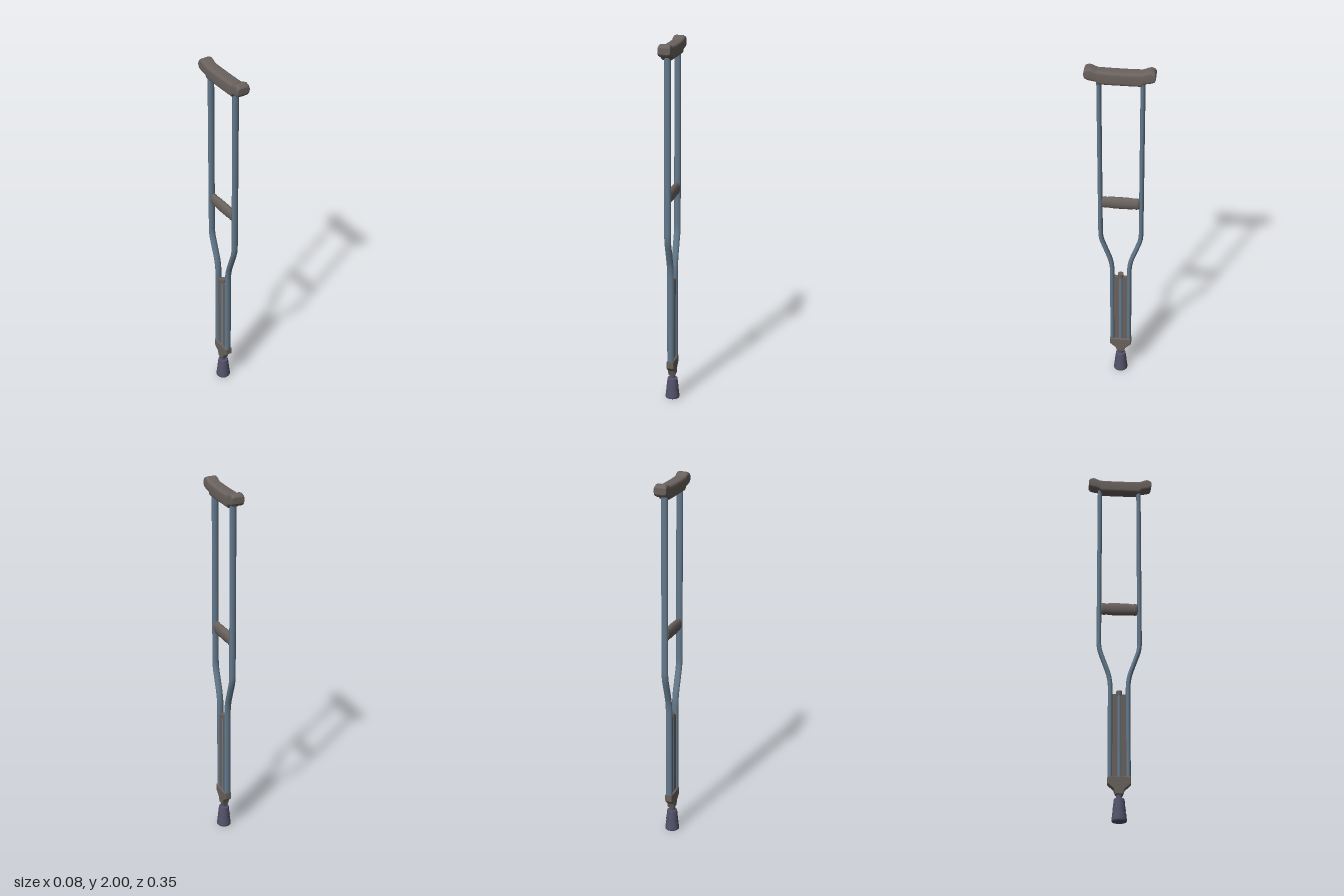
import * as THREE from 'three';

const steel = new THREE.MeshStandardMaterial({ color: 0x64798c });
steel.name = 'blue steel';
const foam = new THREE.MeshStandardMaterial({ color: 0x6a625e });
foam.name = 'grey brown foam';
const rubber = new THREE.MeshStandardMaterial({ color: 0x54526a });
rubber.name = 'dark rubber';

const FRAME_Z = -0.004;

function add(parent, name, geometry, material) {
  const mesh = new THREE.Mesh(geometry, material);
  mesh.name = name;
  parent.add(mesh);
  return mesh;
}

const lathe = (points, sides = 24) =>
  new THREE.LatheGeometry(points.map(([r, y]) => new THREE.Vector2(r, y)), sides);

// Skin over rounded-box sections, listed from +z to -z as [z, bottom, top, halfWidth]
function loft(sections, sides = 28, power = 0.45) {
  const pos = [], index = [];
  const round = (v) => Math.sign(v) * Math.pow(Math.abs(v), power);
  const ring = ([z, bottom, top, half]) => {
    for (let j = 0; j < sides; j++) {
      const a = (j / sides) * Math.PI * 2;
      pos.push(half * round(Math.cos(a)), (top + bottom) / 2 + (top - bottom) / 2 * round(Math.sin(a)), z);
    }
  };
  sections.forEach(ring);
  for (let i = 0; i < sections.length - 1; i++) {
    for (let j = 0; j < sides; j++) {
      const a = i * sides + j, b = i * sides + (j + 1) % sides;
      index.push(a, a + sides, b, b, a + sides, b + sides);
    }
  }
  // Flat end caps with their own vertices
  [sections[0], sections[sections.length - 1]].forEach((s, end) => {
    const start = pos.length / 3;
    ring(s);
    pos.push(0, (s[1] + s[2]) / 2, s[0]);
    for (let j = 0; j < sides; j++) {
      const a = start + j, b = start + (j + 1) % sides, c = start + sides;
      if (end === 0) index.push(c, a, b);
      else index.push(c, b, a);
    }
  });
  const g = new THREE.BufferGeometry();
  g.setAttribute('position', new THREE.Float32BufferAttribute(pos, 3));
  g.setIndex(index);
  g.computeVertexNormals();
  return g;
}

// Oval tube that runs straight, bends inward and runs straight again
function legGeometry(side) {
  const p = (y, z) => new THREE.Vector3(0, y, side * z);
  const path = new THREE.CurvePath();
  path.add(new THREE.LineCurve3(p(1.93, 0.109), p(0.985, 0.109)));
  path.add(new THREE.QuadraticBezierCurve3(p(0.985, 0.109), p(0.955, 0.109), p(0.925, 0.1)));
  path.add(new THREE.LineCurve3(p(0.925, 0.1), p(0.815, 0.061)));
  path.add(new THREE.QuadraticBezierCurve3(p(0.815, 0.061), p(0.77, 0.047), p(0.72, 0.047)));
  path.add(new THREE.LineCurve3(p(0.72, 0.047), p(0.2, 0.047)));
  const g = new THREE.TubeGeometry(path, 90, 0.0125, 16, false);
  g.scale(1.45, 1, 1);
  return g;
}

export function createModel() {
  const model = new THREE.Group();
  model.name = 'crutch';
  const frame = new THREE.Group();
  frame.name = 'frame';
  frame.position.z = FRAME_Z;
  model.add(frame);

  // Underarm pad with raised, flared ends
  const half = [
    [0.176, 1.95, 1.982, 0.033],
    [0.17, 1.938, 1.993, 0.034],
    [0.152, 1.931, 2.0, 0.034],
    [0.135, 1.928, 1.995, 0.0335],
    [0.117, 1.924, 1.987, 0.032],
    [0.108, 1.91, 1.985, 0.033],
    [0.04, 1.91, 1.983, 0.034],
  ];
  const mirrored = half.map(([z, ...rest]) => [-z, ...rest]).reverse();
  add(model, 'underarmPad', loft([...half, ...mirrored]), foam);

  for (const side of [1, -1]) {
    const label = side > 0 ? 'front' : 'back';
    add(frame, label + 'Leg', legGeometry(side), steel);
    // Slats filling the space between leg and centre post
    const slat = add(frame, label + 'Slat', new THREE.BoxGeometry(0.018, 0.48, 0.026), foam);
    slat.position.set(0, 0.445, side * 0.023);
  }

  // Oval hand grip, thicker just inside its end rims
  const grip = lathe([
    [0, -0.1], [0.027, -0.1], [0.033, -0.093], [0.035, -0.082], [0.032, -0.072],
    [0.035, -0.05], [0.036, 0], [0.035, 0.05],
    [0.032, 0.072], [0.035, 0.082], [0.033, 0.093], [0.027, 0.1], [0, 0.1],
  ]);
  grip.rotateX(Math.PI / 2);
  grip.scale(0.56, 1, 1);
  add(frame, 'handGrip', grip, foam).position.y = 1.185;

  // Telescoping centre post and its end plug
  const post = add(frame, 'centrePost', new THREE.CylinderGeometry(0.012, 0.012, 0.58, 16), steel);
  post.position.y = 0.4;
  const plug = add(frame, 'postPlug', new THREE.CylinderGeometry(0.016, 0.016, 0.025, 16), foam);
  plug.position.y = 0.692;

  // Clamp joining both legs to the post
  const outline = new THREE.Shape([
    [-0.055, 0.228], [-0.055, 0.197], [-0.042, 0.184], [-0.025, 0.17], [-0.016, 0.143],
    [0.016, 0.143], [0.025, 0.17], [0.042, 0.184], [0.055, 0.197], [0.055, 0.228],
  ].map(([x, y]) => new THREE.Vector2(x, y)));
  const clamp = new THREE.ExtrudeGeometry(outline, {
    depth: 0.028, bevelEnabled: true, bevelThickness: 0.006, bevelSize: 0.005, bevelSegments: 3,
  });
  clamp.translate(0, 0, -0.014);
  clamp.rotateY(Math.PI / 2);
  add(frame, 'legClamp', clamp, foam);

  // Stem and stepped rubber foot
  const stem = add(frame, 'stem', new THREE.CylinderGeometry(0.015, 0.015, 0.06, 16), rubber);
  stem.position.y = 0.135;
  const foot = lathe([
    [0, 0], [0.037, 0], [0.039, 0.003], [0.039, 0.014], [0.036, 0.028], [0.036, 0.04],
    [0.033, 0.05], [0.034, 0.062], [0.031, 0.08], [0.028, 0.112], [0.026, 0.118], [0, 0.118],
  ]);
  add(frame, 'rubberFoot', foot, rubber);

  return model;
}
